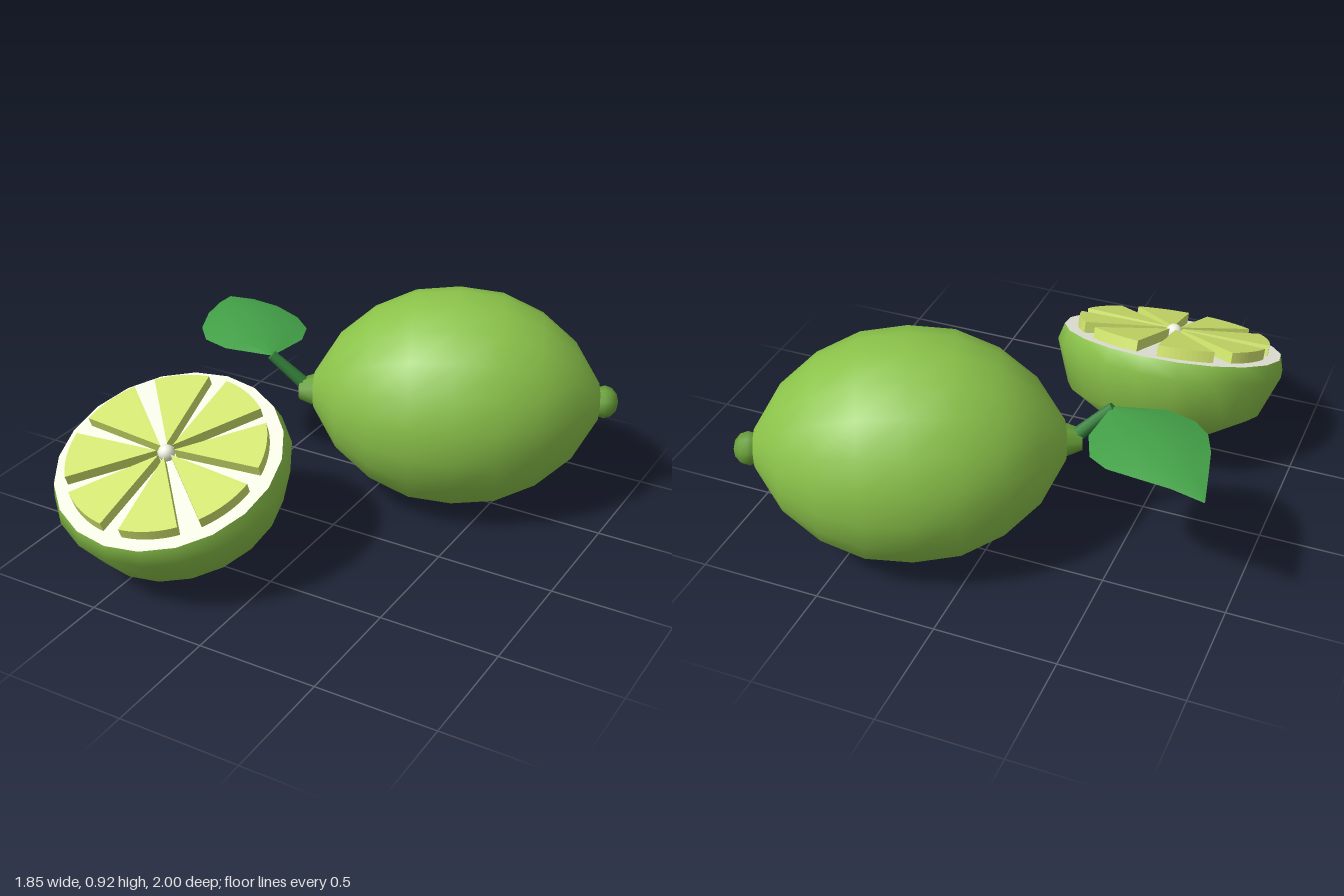
import * as THREE from 'three';

const mat = (color, side = THREE.FrontSide) => new THREE.MeshStandardMaterial({ color, side });
const skin = mat(0x8bc34a);
const nub = mat(0x689f38);
const stemMat = mat(0x33803a);
const leafMat = mat(0x43a047, THREE.DoubleSide);
const pithMat = mat(0xf0f2e2);
const fleshMat = mat(0xcfe36c);
const UP = new THREE.Vector3(0, 1, 0);

function add(parent, name, geometry, material, x = 0, y = 0, z = 0) {
  const mesh = new THREE.Mesh(geometry, material);
  mesh.name = name;
  mesh.position.set(x, y, z);
  parent.add(mesh);
  return mesh;
}

const lathe = (pairs, sides) =>
  new THREE.LatheGeometry(pairs.map(([r, y]) => new THREE.Vector2(r, y)), sides);

// Whole fruit, modelled along y and then laid on its side
function makeWholeLime() {
  const lime = new THREE.Group();
  lime.name = 'wholeLime';
  const half = [[0.445, 0.185], [0.37, 0.355], [0.25, 0.5], [0.08, 0.605], [0, 0.62]];
  const profile = [...half.map(([r, y]) => [r, -y]).reverse(), [0.465, 0], ...half];
  add(lime, 'limeSkin', lathe(profile, 20), skin);
  add(lime, 'tipNub', new THREE.SphereGeometry(0.07, 8, 6), nub, 0, 0.63, 0).scale.y = 0.85;
  add(lime, 'stemCap', new THREE.CylinderGeometry(0.075, 0.045, 0.08, 8), nub, 0, -0.63, 0);
  lime.position.set(0.3, 0.467, -0.523);
  lime.quaternion.setFromUnitVectors(UP, new THREE.Vector3(0.91, 0, -0.415).normalize());
  return lime;
}

// Stem between two points
function makeStem(from, to) {
  const dir = to.clone().sub(from);
  const geometry = new THREE.CylinderGeometry(0.022, 0.03, dir.length(), 8);
  const stem = new THREE.Mesh(geometry, stemMat);
  stem.name = 'stem';
  stem.position.copy(from).addScaledVector(dir, 0.5);
  stem.quaternion.setFromUnitVectors(UP, dir.normalize());
  return stem;
}

// Leaf blade: rows of [distance from base, half width], arched along and across
function makeLeaf(base) {
  const rows = [[0, 0.012], [0.115, 0.172], [0.23, 0.23], [0.335, 0.22], [0.45, 0.16], [0.56, 0.08], [0.666, 0.001]];
  const cols = 4, pos = [], index = [];
  rows.forEach(([d, w], i) => {
    for (let j = 0; j <= cols; j++) {
      const s = (j / cols) * 2 - 1;
      const x = s * w;
      pos.push(x, 0.055 * Math.sin(Math.PI * d / 0.666) - 0.95 * x * x + 0.03 * x, d);
      if (i && j) {
        const a = (i - 1) * (cols + 1) + j - 1, b = a + cols + 1;
        index.push(a, b, a + 1, b, b + 1, a + 1);
      }
    }
  });
  const geometry = new THREE.BufferGeometry();
  geometry.setAttribute('position', new THREE.Float32BufferAttribute(pos, 3));
  geometry.setIndex(index);
  geometry.computeVertexNormals();
  const leaf = new THREE.Mesh(geometry, leafMat);
  leaf.name = 'leaf';
  leaf.position.copy(base);
  leaf.rotation.y = Math.atan2(-0.5, -0.44);
  return leaf;
}

// Cut half, modelled with the cut face up and then tilted forward
function makeHalfLime() {
  const half = new THREE.Group();
  half.name = 'halfLime';
  const bowl = [[0, -0.385], [0.26, -0.355], [0.418, -0.255], [0.487, -0.07], [0.468, 0]];
  add(half, 'rind', lathe(bowl, 20), skin);
  add(half, 'pith', new THREE.CircleGeometry(0.468, 20).rotateX(-Math.PI / 2), pithMat);

  // Eight pulp wedges around the core
  const inner = 0.035, outer = 0.41, spread = THREE.MathUtils.degToRad(16.5);
  const wedge = new THREE.Shape();
  wedge.moveTo(inner, 0);
  wedge.lineTo(outer * Math.cos(spread), -outer * Math.sin(spread));
  wedge.absarc(0, 0, outer, -spread, spread, false);
  wedge.closePath();
  const wedgeGeometry = new THREE.ExtrudeGeometry(wedge, { depth: 0.046, bevelEnabled: false, curveSegments: 5 });
  wedgeGeometry.rotateX(-Math.PI / 2);
  for (let i = 0; i < 8; i++) {
    add(half, 'pulpSegment', wedgeGeometry, fleshMat).rotation.y = (i + 0.5) * Math.PI / 4;
  }
  add(half, 'core', new THREE.SphereGeometry(0.035, 10, 8), pithMat, 0, 0.03, 0);

  half.position.set(-0.425, 0.485, 0.565);
  half.rotation.x = THREE.MathUtils.degToRad(21.6);
  return half;
}

export function createModel() {
  const model = new THREE.Group();
  model.name = 'limes';
  const stemEnd = new THREE.Vector3(-0.42, 0.62, -0.2);
  model.add(
    makeWholeLime(),
    makeStem(new THREE.Vector3(-0.27, 0.47, -0.265), stemEnd),
    makeLeaf(stemEnd),
    makeHalfLime(),
  );
  return model;
}
